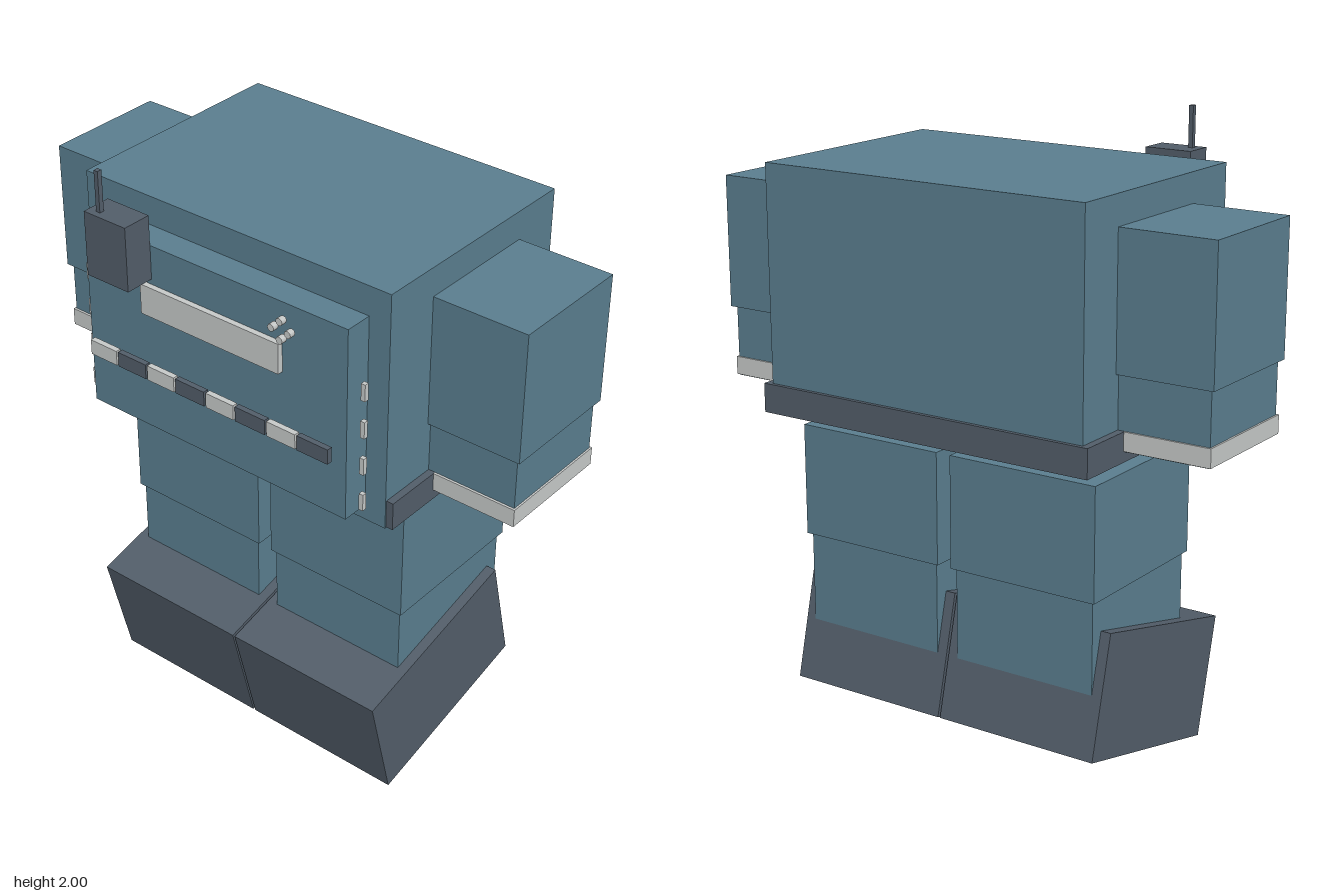
import * as THREE from 'three';

export function createModel() {
  const model = new THREE.Group();
  const material = (name, color) => {
    const m = new THREE.MeshStandardMaterial({ color });
    m.name = name;
    return m;
  };
  const teal = material('teal suit', 0x5a7e8f);
  const dark = material('dark slate', 0x525d69);
  const light = material('pale grey', 0xc6c9c8);

  // Box given by its limits on each axis
  const box = (name, mat, [x0, x1], [y0, y1], [z0, z1], parent = model) => {
    const mesh = new THREE.Mesh(new THREE.BoxGeometry(x1 - x0, y1 - y0, z1 - z0), mat);
    mesh.position.set((x0 + x1) / 2, (y0 + y1) / 2, (z0 + z1) / 2);
    mesh.name = name;
    parent.add(mesh);
    return mesh;
  };

  // Torso, belt and chest panel
  box('torso', teal, [-0.572, 0.567], [1.079, 1.865], [-0.482, 0.304]);
  box('belt', dark, [-0.596, 0.591], [1.083, 1.176], [-0.495, 0.3]);
  box('chestPanel', teal, [-0.498, 0.493], [1.13, 1.77], [0.3, 0.396]);

  for (const side of [1, -1]) {
    const prefix = side > 0 ? 'left' : 'right';
    // Limits mirrored about the body's centre plane
    const span = (a, b) => (side > 0 ? [a, b] : [-b, -a]).map((v) => v - 0.002);

    // Arm: sleeve, forearm and cuff
    const arm = new THREE.Group();
    arm.name = prefix + 'Arm';
    model.add(arm);
    box('upperArm', teal, span(0.466, 0.887), [1.344, 1.77], [-0.31, 0.11], arm);
    box('forearm', teal, span(0.48, 0.873), [1.114, 1.35], [-0.296, 0.097], arm);
    box('cuff', light, span(0.474, 0.879), [1.117, 1.176], [-0.302, 0.105], arm);

    // Leg: thigh, shin and tilted boot
    const leg = new THREE.Group();
    leg.name = prefix + 'Leg';
    model.add(leg);
    box('thigh', teal, span(0.025, 0.543), [0.656, 1.02], [-0.37, 0.175], leg);
    box('shin', teal, span(0.038, 0.531), [0.3, 0.66], [-0.357, 0.163], leg);
    const boot = box('boot', dark, span(0.004, 0.565), [0.079, 0.475], [-0.367, 0.297], leg);
    boot.position.set(boot.position.x, 0.277, -0.035);
    boot.rotation.x = THREE.MathUtils.degToRad(14);

    // Row of small tabs beside the chest panel
    for (let i = 0; i < 4; i++) {
      const y = 1.188 + i * 0.125;
      box('sideTab', light, span(0.518, 0.533), [y - 0.028, y + 0.028], [0.35, 0.365]);
    }
  }

  // Chest strip of alternating blocks
  for (let i = 0; i < 8; i++) {
    const x = -0.411 + i * 0.116;
    const half = i % 2 ? 0.056 : 0.053;
    box('stripBlock', i % 2 ? dark : light, [x - half, x + half], [1.329, 1.379], [0.417, 0.436]);
  }

  // Name plate
  box('namePlate', light, [-0.265, 0.26], [1.54, 1.64], [0.394, 0.415]);

  // Badge of four small studs
  for (let i = 0; i < 4; i++) {
    const a = (i * Math.PI) / 2;
    const stud = new THREE.Mesh(new THREE.CylinderGeometry(0.012, 0.012, 0.02, 8), light);
    stud.rotation.x = Math.PI / 2;
    stud.position.set(0.289 + 0.03 * Math.cos(a), 1.708 + 0.03 * Math.sin(a), 0.435);
    stud.name = 'badgeStud';
    model.add(stud);
  }

  // Shoulder radio and aerial
  box('radio', dark, [-0.396, -0.235], [1.658, 1.868], [0.396, 0.495]);
  box('aerial', dark, [-0.367, -0.352], [1.86, 2], [0.458, 0.474]);

  return model;
}
